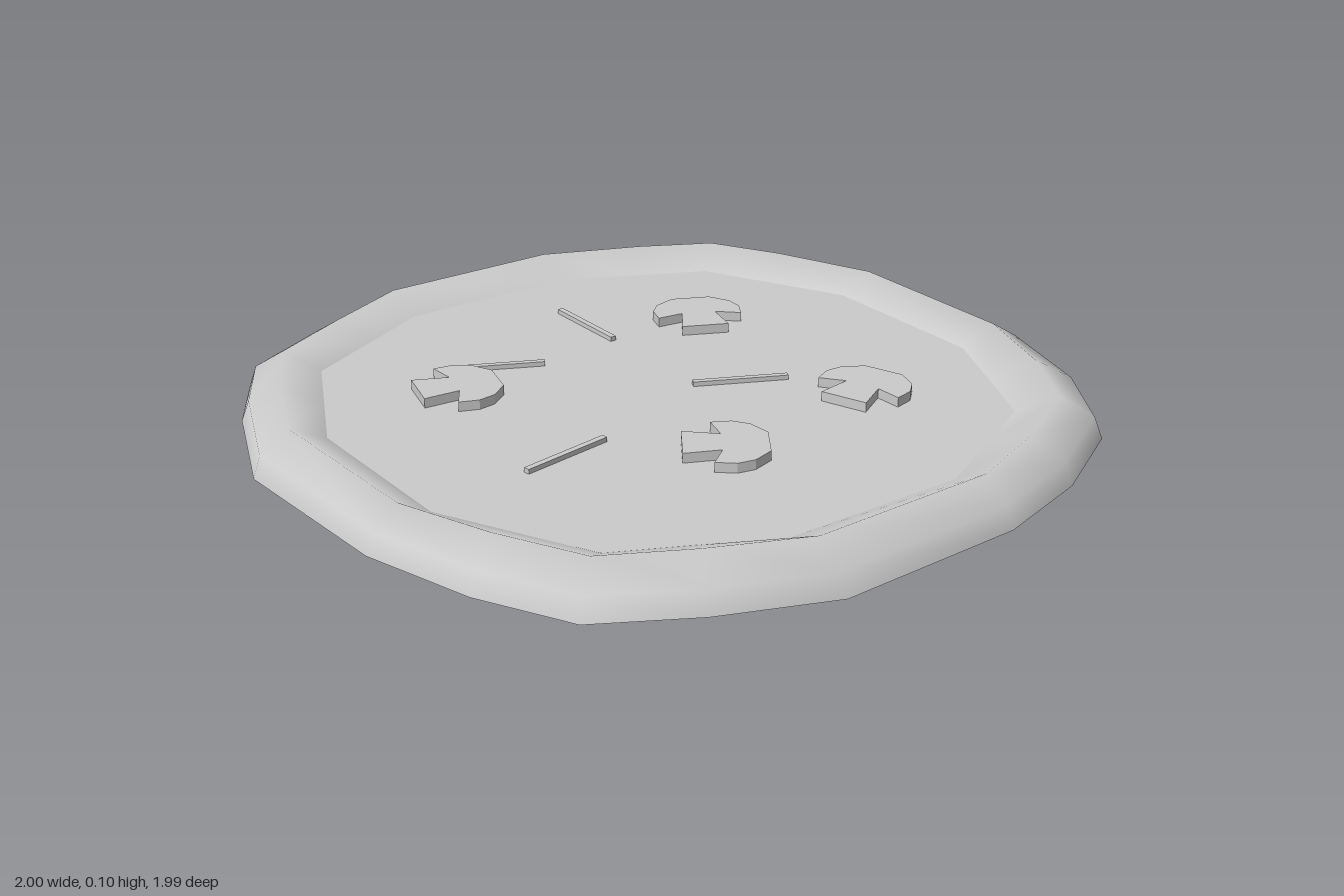
import * as THREE from 'three';

const FLOOR = 0.058;
const material = new THREE.MeshStandardMaterial({ color: 0xcccccc });

// Rim outline at the ground, [x, z], clockwise from above
const OUTER = [
  [0.25, -1], [0.55, -0.91], [0.76, -0.77], [0.9, -0.52], [0.98, -0.25],
  [1, 0.25], [0.89, 0.53], [0.76, 0.76], [0.53, 0.88], [0.24, 0.965],
  [-0.25, 0.99], [-0.57, 0.865], [-0.76, 0.75], [-0.88, 0.52], [-1, 0.25],
  [-1, -0.25], [-0.88, -0.58], [-0.77, -0.77], [-0.59, -0.88], [-0.25, -1],
];

// Inner edge of the rim: one quarter turned four times
const QUARTER = [[0.24, -0.8], [0.425, -0.71], [0.61, -0.62], [0.705, -0.43], [0.8, -0.24]];
const INNER = [];
for (let q = 0; q < 4; q++) {
  for (const [x, z] of QUARTER) {
    INNER.push([[x, z], [-z, x], [-x, -z], [z, -x]][q]);
  }
}

// Ring between inner (t = 0) and outer (t = 1) outlines
const ring = (t, y) => OUTER.map(([x, z], i) => [
  THREE.MathUtils.lerp(INNER[i][0], x, t), y, THREE.MathUtils.lerp(INNER[i][1], z, t),
]);
const centre = (y) => OUTER.map(() => [0, y, 0]);

// Skin a list of rings with smooth normals
function skin(name, rings) {
  const n = OUTER.length;
  const index = [];
  for (let r = 0; r < rings.length - 1; r++) {
    for (let i = 0; i < n; i++) {
      const j = (i + 1) % n;
      const a = r * n + i, b = a + n, c = r * n + j, d = c + n;
      index.push(a, b, d, a, d, c);
    }
  }
  const geometry = new THREE.BufferGeometry();
  geometry.setAttribute('position', new THREE.Float32BufferAttribute(rings.flat(2), 3));
  geometry.setIndex(index);
  geometry.computeVertexNormals();
  const mesh = new THREE.Mesh(geometry, material);
  mesh.name = name;
  return mesh;
}

// Mushroom slice: half outline mirrored across the stem axis
function mushroomGeometry() {
  const half = [[0.093, 0.062], [0, 0.045], [0.022, 0.112], [-0.03, 0.118], [-0.073, 0.1], [-0.112, 0.052]];
  const mirrored = half.map(([u, v]) => [u, -v]).reverse();
  const shape = new THREE.Shape([...half, ...mirrored].map(([u, v]) => new THREE.Vector2(u, v)));
  const geometry = new THREE.ExtrudeGeometry(shape, { depth: 0.027, bevelEnabled: false });
  return geometry.rotateX(-Math.PI / 2);
}

export function createModel() {
  const group = new THREE.Group();
  group.name = 'pizza';

  // Dough: underside, raised rim and flat filling
  group.add(skin('underside', [centre(0), ring(1, 0)]));
  group.add(skin('crust', [ring(1, 0), ring(0.9, 0.055), ring(0.5, 0.105), ring(0, FLOOR)]));
  group.add(skin('filling', [ring(0, FLOOR), centre(FLOOR)]));

  // Mushroom slices: x, z and stem direction
  const mushroom = mushroomGeometry();
  const slices = [
    [-0.32, -0.36, 0.9, 0.43],
    [0.31, -0.39, 0.34, 0.94],
    [0.37, 0.095, -0.57, 0.82],
    [-0.29, 0.42, -0.26, 0.97],
  ];
  for (const [x, z, dx, dz] of slices) {
    const mesh = new THREE.Mesh(mushroom, material);
    mesh.name = 'mushroomSlice';
    mesh.position.set(x, FLOOR - 0.002, z);
    mesh.rotation.y = Math.atan2(-dz, dx);
    group.add(mesh);
  }

  // Thin strips: end to end in x, z
  const strips = [
    [-0.59, -0.095, -0.34, -0.095],
    [0.02, -0.085, 0.125, -0.305],
    [-0.415, 0.36, -0.31, 0.14],
    [0.16, 0.28, 0.2, 0.525],
  ];
  for (const [x1, z1, x2, z2] of strips) {
    const length = Math.hypot(x2 - x1, z2 - z1);
    const mesh = new THREE.Mesh(new THREE.BoxGeometry(length, 0.014, 0.016), material);
    mesh.name = 'toppingStrip';
    mesh.position.set((x1 + x2) / 2, FLOOR + 0.005, (z1 + z2) / 2);
    mesh.rotation.y = Math.atan2(z1 - z2, x2 - x1);
    group.add(mesh);
  }

  return group;
}
